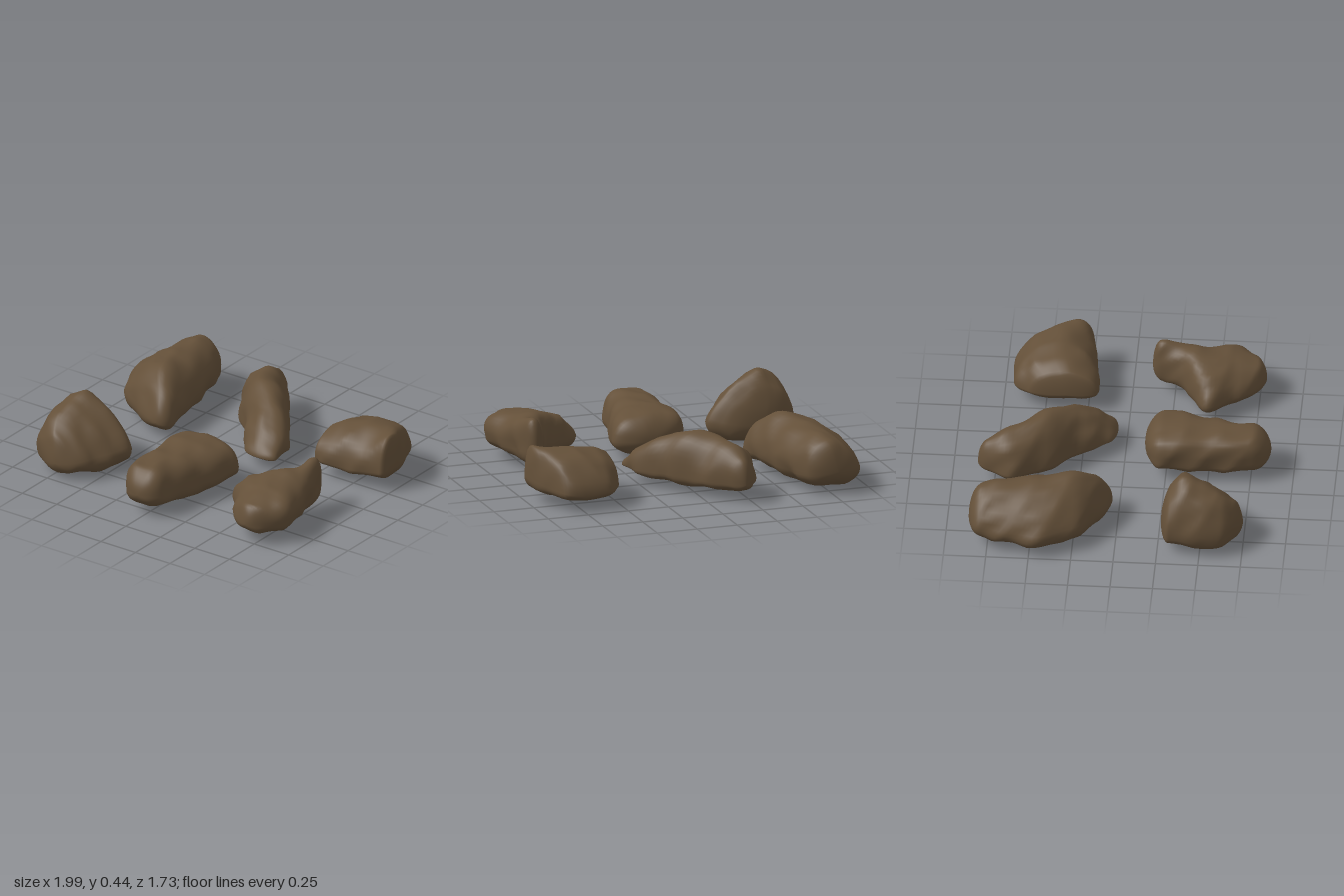
import * as THREE from 'three';

const SIDES = 40, ROWS = 44;
const { lerp, clamp } = THREE.MathUtils;

// Gentle chips and dents, different for each rock
function dent(x, y, z, seed) {
  const a = Math.sin(17 * x + 9 * y + seed) * Math.sin(15 * z - 12 * y + seed * 2.1);
  const b = Math.sin(31 * x - 23 * z + seed * 1.7) * Math.sin(27 * y + 14 * x + seed);
  return 0.006 * (1 - 2 * Math.abs(a)) + 0.004 * b;
}

// Sweeps a ridged section from start to end along one axis.
// sections: evenly spaced [low side, high side, top]; ridge: its place across the width;
// waist: relative height of the widest line; round: length of the rounded ends;
// sharp: above 1 is peaked, below 1 is boxy
function rockGeometry({ axis = 'z', start, end, bottom, waist, ridge, round, sharp, seed, sections }) {
  const curve = new THREE.CatmullRomCurve3(
    sections.map(s => new THREE.Vector3(...s)), false, 'catmullrom', 0.3);
  const pos = [], index = [];

  for (let i = 0; i <= ROWS; i++) {
    const w = (1 - Math.cos((Math.PI * i) / ROWS)) / 2;
    const along = lerp(start, end, w);
    const { x: low, y: high, z: top } = curve.getPoint(w);
    // Ends shrink to a point along a quarter circle, and the underside lifts towards them
    const e = clamp(Math.min(along - start, end - along) / round, 0, 1);
    const size = Math.sqrt(1 - (1 - e) ** 2);
    const base = bottom + 0.04 * (2 * w - 1) ** 2;
    const belt = lerp(base, top, waist);
    const mid = (low + high) / 2, half = (high - low) / 2;

    for (let j = 0; j < SIDES; j++) {
      const t = (j / SIDES) * Math.PI * 2, c = Math.cos(t), s = Math.sin(t);
      const power = s > 0 ? sharp : 0.8;
      const u = Math.sign(c) * Math.abs(c) ** power, v = Math.abs(s) ** power;
      const lean = s > 0 ? (ridge - 0.5) * 2 * v : 0;
      const across = mid + half * size * (u + lean);
      const y = belt + ((s > 0 ? top : base) - belt) * v * size;
      const d = dent(across, y, along, seed) * size;
      const side = across + d * c, height = Math.max(0, y + d * s);
      if (axis === 'x') pos.push(along, height, side);
      else pos.push(side, height, along);
    }
  }

  for (let i = 0; i < ROWS; i++)
    for (let j = 0; j < SIDES; j++) {
      const a = i * SIDES + j, b = i * SIDES + (j + 1) % SIDES, c = a + SIDES, d = b + SIDES;
      if (axis === 'x') index.push(a, c, b, b, c, d);
      else index.push(a, b, c, b, d, c);
    }

  const g = new THREE.BufferGeometry();
  g.setAttribute('position', new THREE.Float32BufferAttribute(pos, 3));
  g.setIndex(index);
  g.computeVertexNormals();
  return g;
}

export function createModel() {
  const group = new THREE.Group();
  group.name = 'rocks';
  const stone = new THREE.MeshStandardMaterial({ color: 0x645039 });
  stone.name = 'brownStone';

  const addRock = (name, shape) => {
    const mesh = new THREE.Mesh(rockGeometry(shape), stone);
    mesh.name = name;
    group.add(mesh);
  };

  // Back row
  addRock('largeBackRock', {
    start: -0.865, end: -0.035, bottom: 0.02, waist: 0.32, ridge: 0.62, round: 0.08, sharp: 1.2, seed: 1,
    sections: [[-0.92, -0.62, 0.32], [-0.965, -0.56, 0.345], [-1, -0.515, 0.355], [-0.9, -0.48, 0.36], [-0.62, -0.44, 0.22]],
  });
  addRock('longDiagonalRock', {
    start: -0.85, end: -0.05, bottom: 0.04, waist: 0.2, ridge: 0.52, round: 0.05, sharp: 1, seed: 2.3,
    sections: [[-0.24, -0.16, 0.25], [-0.325, -0.01, 0.325], [-0.22, 0.14, 0.36], [-0.04, 0.28, 0.28], [0.09, 0.31, 0.13]],
  });
  addRock('wedgeRock', {
    axis: 'x', start: 0.475, end: 0.985, bottom: 0.05, waist: 0.2, ridge: 0.54, round: 0.035, sharp: 1, seed: 4.1,
    sections: [[-0.58, -0.19, 0.25], [-0.69, -0.19, 0.305], [-0.7, -0.205, 0.32], [-0.67, -0.22, 0.33], [-0.42, -0.235, 0.33]],
  });

  // Front row
  addRock('peakedRock', {
    start: 0.265, end: 0.745, bottom: 0.01, waist: 0.3, ridge: 0.37, round: 0.05, sharp: 1.3, seed: 5.2,
    sections: [[-0.91, -0.52, 0.3], [-0.92, -0.405, 0.435], [-0.93, -0.44, 0.405], [-0.91, -0.52, 0.345], [-0.78, -0.61, 0.24]],
  });
  addRock('columnRock', {
    start: 0.12, end: 0.865, bottom: 0.03, waist: 0.35, ridge: 0.45, round: 0.11, sharp: 0.7, seed: 6.6,
    sections: [[-0.19, 0.25, 0.285], [-0.19, 0.235, 0.3], [-0.175, 0.18, 0.295], [-0.17, 0.125, 0.295], [-0.14, 0.11, 0.28]],
  });
  addRock('spurRock', {
    start: 0.115, end: 0.79, bottom: 0.045, waist: 0.33, ridge: 0.6, round: 0.05, sharp: 0.95, seed: 8,
    sections: [[0.72, 0.8, 0.34], [0.64, 0.83, 0.325], [0.4, 0.87, 0.305], [0.51, 0.9, 0.28], [0.64, 0.78, 0.23]],
  });
  return group;
}
